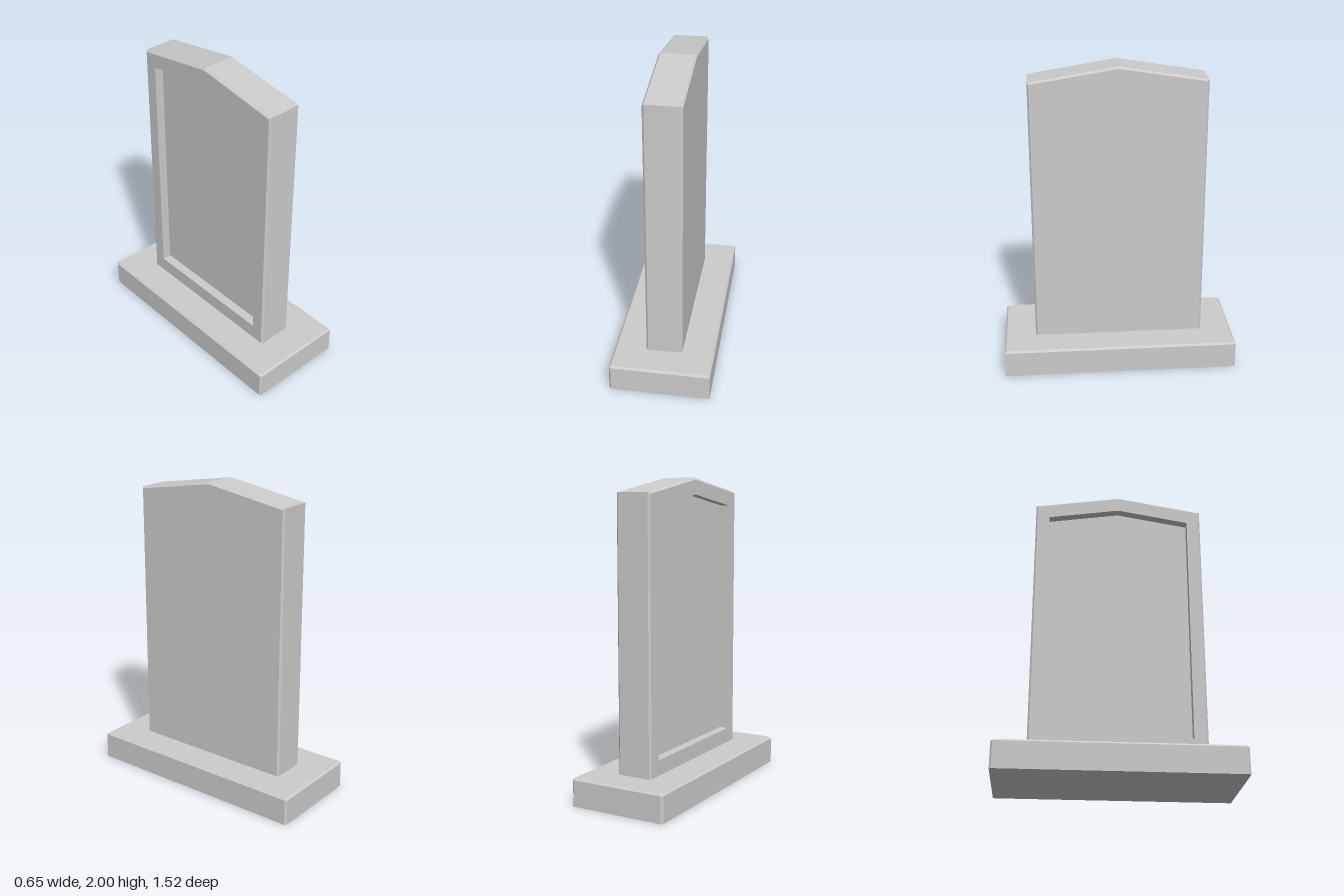
import * as THREE from 'three';

const material = new THREE.MeshStandardMaterial({ color: 0xcccccc, flatShading: true });

// Skins a list of rings (counter-clockwise about the direction of travel) and caps both ends.
function loft(name, rings) {
  const pos = [];
  const tri = (...pts) => pts.forEach((p) => pos.push(...p));
  const n = rings[0].length;
  const first = rings[0], last = rings[rings.length - 1];
  for (let r = 0; r < rings.length - 1; r++) {
    const a = rings[r], b = rings[r + 1];
    for (let i = 0; i < n; i++) {
      const j = (i + 1) % n;
      tri(a[i], a[j], b[j]);
      tri(a[i], b[j], b[i]);
    }
  }
  for (let i = 1; i < n - 1; i++) {
    tri(first[0], first[i + 1], first[i]);
    tri(last[0], last[i], last[i + 1]);
  }
  const geo = new THREE.BufferGeometry();
  geo.setAttribute('position', new THREE.Float32BufferAttribute(pos, 3));
  geo.computeVertexNormals();
  const mesh = new THREE.Mesh(geo, material);
  mesh.name = name;
  return mesh;
}

// Plinth outline: three upright corners chamfered, the front left one sharp.
function plinthRing(y, inset) {
  const x = 0.323 - inset, z = 0.76 - inset, c = 0.012;
  return [[x, z], [x, -z + c], [x - c, -z], [-x + c, -z], [-x, -z + c], [-x, z - c], [-x + c, z]]
    .map(([px, pz]) => [px, y, pz]);
}

// Gabled outline of the slab at a given x.
function gableRing(x, halfWidth, bottom, eaves, peak) {
  return [[-halfWidth, bottom], [halfWidth, bottom], [halfWidth, eaves], [0, peak], [-halfWidth, eaves]]
    .map(([z, y]) => [x, y, z]);
}

export function createModel() {
  const group = new THREE.Group();
  group.name = 'headstone';

  // Plinth with a chamfered top edge
  group.add(loft('plinth', [plinthRing(0, 0), plinthRing(0.168, 0), plinthRing(0.18, 0.012)]));

  // Upright slab: chamfered rims, plain on one side, sunken panel on the other
  group.add(loft('slab', [
    gableRing(0.117, 0.544, 0.17, 1.9, 1.988),
    gableRing(0.105, 0.555, 0.17, 1.91, 2),
    gableRing(-0.105, 0.555, 0.17, 1.91, 2),
    gableRing(-0.117, 0.544, 0.17, 1.9, 1.988),
    gableRing(-0.117, 0.465, 0.28, 1.82, 1.895),
    gableRing(-0.057, 0.465, 0.28, 1.82, 1.895),
  ]));

  return group;
}
